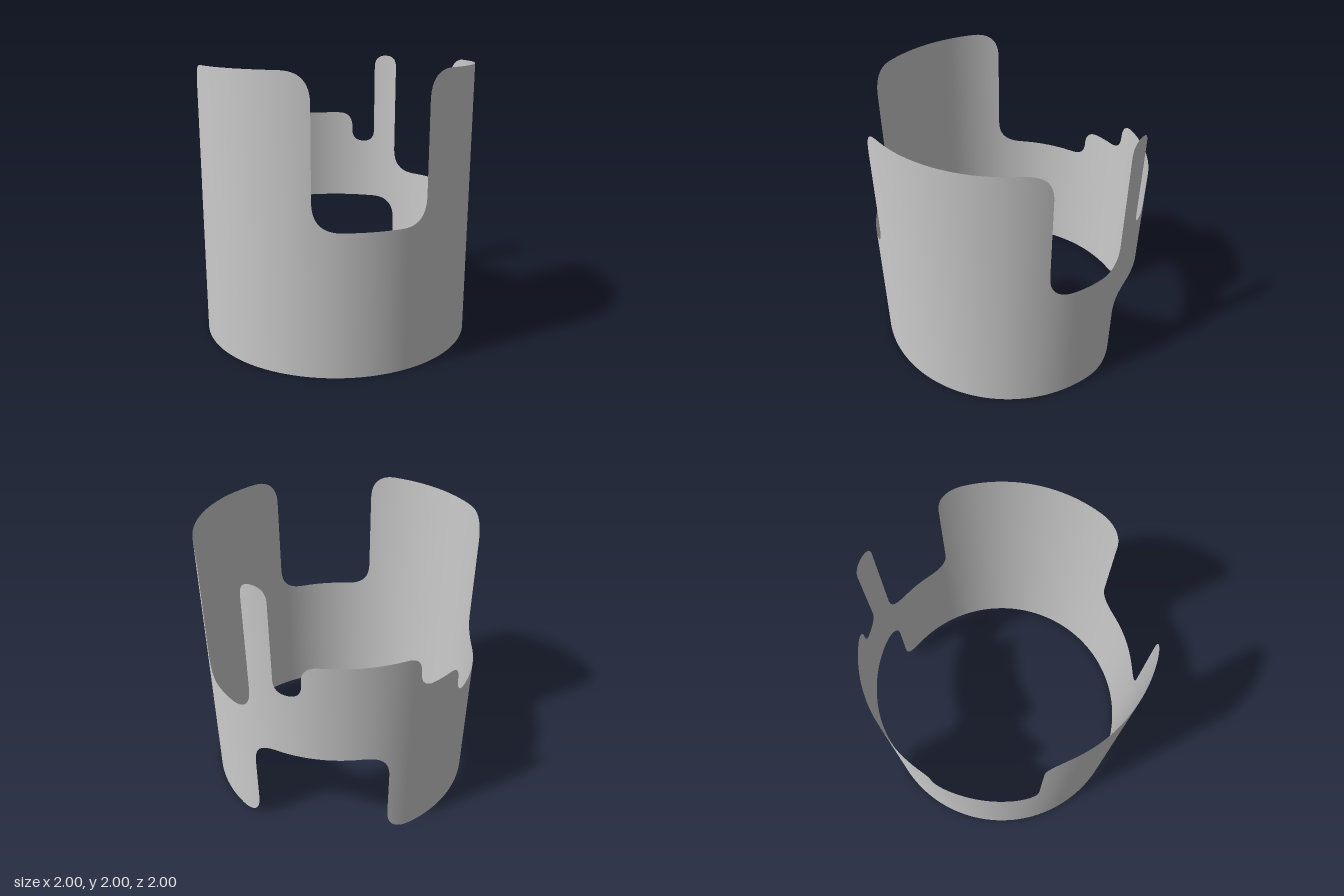
import * as THREE from 'three';

const STEP = Math.PI / 16; // one of 32 divisions around the ring
const START = 3, END = 35; // sweep limits, in divisions (0 = front, towards +x)
const EPS = 1e-4;

// Stepped edge line: [division, new height] for each jump, with rounded corners
function steppedEdge(startHeight, jumps) {
  const pts = [[START, startHeight]];
  let h = startHeight;
  jumps.forEach(([u, next], k) => {
    const before = k ? jumps[k - 1][0] : START;
    const after = k < jumps.length - 1 ? jumps[k + 1][0] : END;
    const dh = next - h, sign = Math.sign(dh);
    const limit = Math.min(1, Math.abs(dh) / 2 / STEP);
    const a = Math.min(limit, (u - before) / 2), b = Math.min(limit, (after - u) / 2);
    const round = (p, c, q) => {
      const curve = new THREE.QuadraticBezierCurve(
        new THREE.Vector2(...p), new THREE.Vector2(...c), new THREE.Vector2(...q));
      curve.getPoints(12).forEach((v) => pts.push([v.x, v.y]));
    };
    round([u - a, h], [u - EPS, h], [u - EPS, h + sign * a * STEP]);
    round([u + EPS, next - sign * b * STEP], [u + EPS, next], [u + b, next]);
    h = next;
  });
  pts.push([END, h]);
  return pts;
}

// Height of an edge line at division u
function heightAt(pts, u) {
  for (let i = 1; i < pts.length; i++) {
    const [u0, h0] = pts[i - 1], [u1, h1] = pts[i];
    if (u <= u1 && u1 > u0) return h0 + (h1 - h0) * Math.max(0, (u - u0) / (u1 - u0));
  }
  return pts[pts.length - 1][1];
}

// Thin cylindrical wall between two edge lines
function wallGeometry(top, bottom) {
  const us = [...top, ...bottom].map((p) => p[0]);
  for (let u = START; u <= END; u += 0.25) us.push(u);
  us.sort((a, b) => a - b);
  const columns = us.filter((u, i) => i === 0 || u - us[i - 1] > 1e-9);

  const positions = [], normals = [], index = [];
  columns.forEach((u, i) => {
    const x = Math.sin(u * STEP), z = Math.cos(u * STEP);
    positions.push(x, heightAt(bottom, u), z, x, heightAt(top, u), z);
    normals.push(x, 0, z, x, 0, z);
    if (i) {
      const a = 2 * i - 2;
      index.push(a, a + 2, a + 3, a, a + 3, a + 1);
    }
  });
  const geometry = new THREE.BufferGeometry();
  geometry.setAttribute('position', new THREE.Float32BufferAttribute(positions, 3));
  geometry.setAttribute('normal', new THREE.Float32BufferAttribute(normals, 3));
  geometry.setIndex(index);
  return geometry;
}

export function createModel() {
  const group = new THREE.Group();
  group.name = 'notchedRing';

  // Upper edge: right panel, narrow back tab, low stepped back wall, front panel
  const top = steppedEdge(1, [
    [5, 2], [12, 1], [15, 2], [16, 1.25], [17, 1.5], [21, 1.25], [23, 1], [27, 2], [33, 1],
  ]);
  // Lower edge: one cutout at the back
  const bottom = steppedEdge(0, [[15, 0.75], [20, 0]]);

  const wall = new THREE.Mesh(
    wallGeometry(top, bottom),
    new THREE.MeshStandardMaterial({ color: 0xcccccc, side: THREE.DoubleSide }));
  wall.name = 'notchedWall';
  group.add(wall);
  return group;
}
